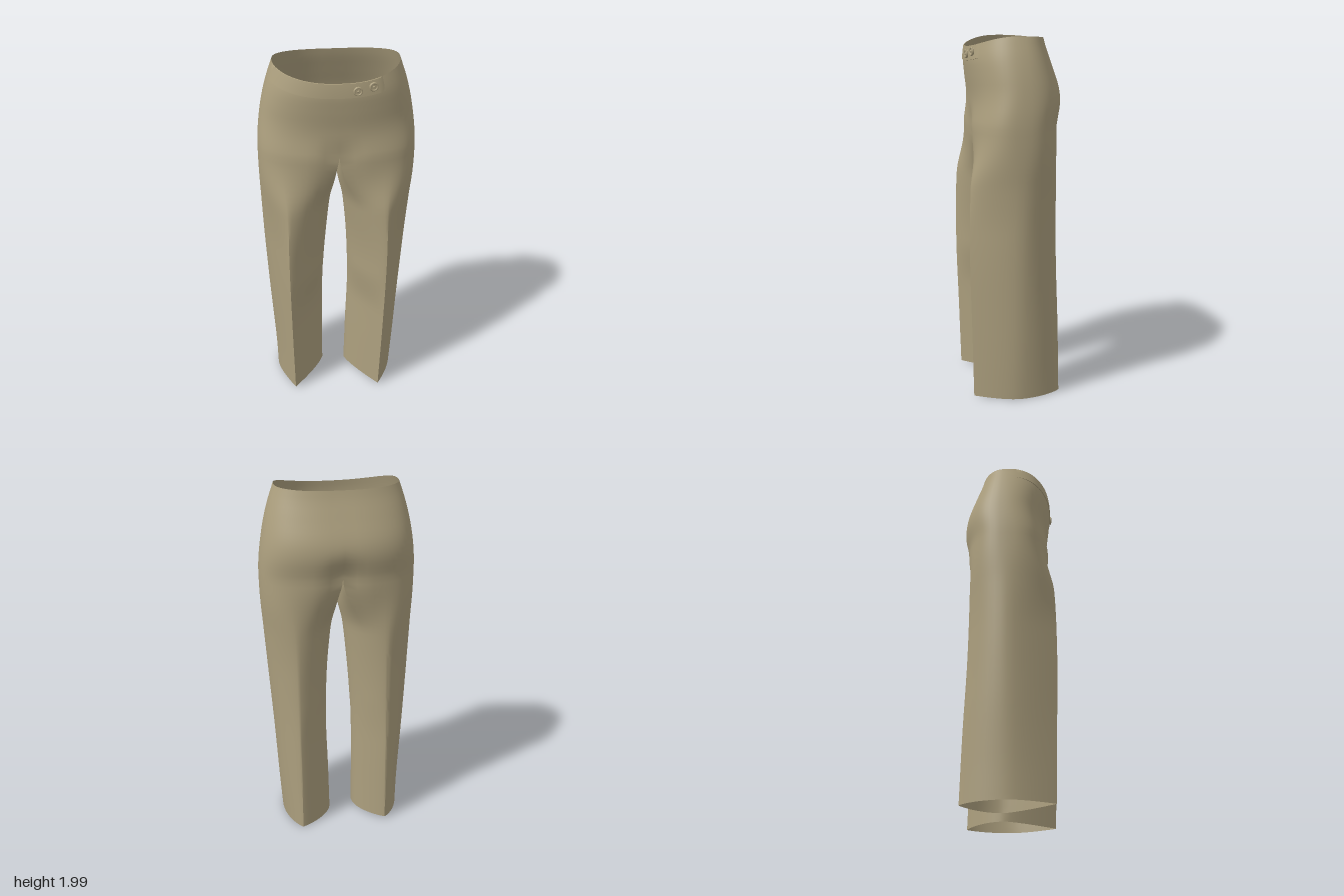
import * as THREE from 'three';
import { toCreasedNormals } from 'three/addons/utils/BufferGeometryUtils.js';

const lerp = THREE.MathUtils.lerp, smooth = THREE.MathUtils.smoothstep;
// Smooth profile through [height, value] pairs
const profile = (...pairs) => {
  const f = new THREE.CubicInterpolant(pairs.map(p => p[0]), pairs.map(p => p[1]), 1, [0]);
  return y => f.evaluate(y)[0];
};

const CROTCH = 1.53, M = 32, CREASE = 6, K = 14;

// Hip profiles: half width, front depth, back depth
const hipX = profile([1.5, 0.425], [1.6, 0.42], [1.7, 0.408], [1.8, 0.39], [1.9, 0.364], [2, 0.33]);
const hipF = profile([1.5, 0.234], [1.65, 0.219], [1.8, 0.235], [1.88, 0.242], [1.95, 0.234], [2, 0.225]);
const hipB = profile([1.45, 0.228], [1.55, 0.243], [1.65, 0.26], [1.72, 0.255], [1.85, 0.212], [1.95, 0.177], [2, 0.165]);

// Leg depths shared by both sides
const legF = profile([0, 0.242], [0.4, 0.252], [0.8, 0.262], [1.2, 0.255], [1.4, 0.237], [1.53, 0.225]);
const legB = profile([0, 0.247], [0.4, 0.236], [0.8, 0.22], [1.2, 0.215], [1.4, 0.217], [1.53, 0.23]);

// Each leg has its own outer, inner and crease lines
const legs = [
  { side: 1, hem: 0.005,
    outer: profile([0, 0.33], [0.2, 0.344], [0.6, 0.368], [1, 0.396], [1.3, 0.416], [1.53, 0.425]),
    inner: profile([0, 0.05], [0.3, 0.058], [0.6, 0.068], [0.8, 0.065], [1, 0.055], [1.2, 0.035], [1.4, 0.012], [1.53, 0]),
    front: profile([0, 0.232], [0.5, 0.25], [1, 0.26], [1.4, 0.25]),
    back: profile([0, 0.24], [1.4, 0.25]) },
  { side: -1, hem: 0.016,
    outer: profile([0, 0.36], [0.2, 0.366], [0.6, 0.39], [1, 0.41], [1.3, 0.42], [1.53, 0.425]),
    inner: profile([0, 0.085], [0.3, 0.084], [0.6, 0.081], [0.8, 0.071], [1, 0.055], [1.2, 0.035], [1.4, 0.012], [1.53, 0]),
    front: profile([0, 0.265], [0.5, 0.275], [1, 0.28], [1.4, 0.27]),
    back: profile([0, 0.25], [1.4, 0.25]) },
];

// Waist edge dips at the front
const rimY = a => (Math.cos(a) > 0 ? 1.942 + 0.054 * Math.sin(a) ** 2 : 1.986 + 0.01 * Math.sin(a) ** 2);

// Point on the hips; a runs from 0 at the front to PI at the back, negative on the right
function hipPoint(a, y) {
  const s = Math.sin(a), c = Math.cos(a);
  const p = 2 / (c > 0 ? 2.75 - 0.45 * smooth(y, 1.53, 1.75) : 2.6);
  const x = Math.sign(s) * hipX(y) * Math.abs(s) ** p;
  let z = Math.abs(c) ** p * (c > 0 ? hipF(y) : -hipB(y));
  const dip = c > 0 ? 0.16 * (1 - smooth(y, 1.48, 1.66)) : 0.01 + 0.16 * (1 - smooth(y, 1.5, 1.7));
  z *= 1 - dip * Math.exp(-((x / 0.075) ** 2));
  return new THREE.Vector3(x, y, z);
}

// How far a creased leg wall stands out between its two creases (t = 1 front, -1 back):
// the outer wall is flat in front and full behind, the inner wall straight in front
function wall(t, out, sharp) {
  const peak = out ? 0 : -0.12 * sharp;
  const u = (t - peak) / (t > peak ? 1 - peak : 1 + peak);
  const [q, e] = out ? (u > 0 ? [1.5, 1] : [2, 0.8]) : (u > 0 ? [1.25, 1] : [2, 0.88]);
  return Math.max(0, 1 - Math.abs(u) ** lerp(2, q, sharp)) ** lerp(0.5, e, sharp);
}

// Ring of a leg: pointed at the creases, opening into a half hip section at the crotch
function legRing(leg, y) {
  const ring = [], total = M + K, outerSteps = M - 2 * CREASE, innerSteps = total - outerSteps;
  const w = smooth(y, 1.2, CROTCH);
  // The outer wall rounds out over the thigh, the inner wall already at the knee
  const sharpOut = 1 - smooth(y, 0.95, 1.5);
  const sharpIn = 1 - 0.4 * smooth(y, 0.52, 0.8) - 0.6 * smooth(y, 0.8, 1.45);
  for (let i = 0; i < total; i++) {
    const k = (i - CREASE + total) % total, out = k <= outerSteps;
    const phi = out ? Math.PI * (0.5 - k / outerSteps) : Math.PI * ((k - outerSteps) / innerSteps - 0.5);
    const t = Math.sin(phi);
    const cx = lerp(leg.back(y), leg.front(y), (t + 1) / 2);
    const x = lerp(cx, (out ? leg.outer : leg.inner)(y), wall(t, out, out ? sharpOut : sharpIn));
    const p = new THREE.Vector3(x, y, t * (t > 0 ? legF(y) : legB(y)));
    // Matching point on the section at the crotch
    let d;
    if (i <= M) d = hipPoint(Math.PI * i / M, CROTCH);
    else {
      const u = (i - M) / K;
      d = hipPoint(Math.PI, CROTCH).lerp(hipPoint(0, CROTCH), u);
      p.y -= 0.08 * Math.sin(Math.PI * u) * smooth(y, 1.15, CROTCH);
    }
    p.x = lerp(p.x, Math.max(d.x, 0), w);
    p.z = lerp(p.z, d.z, w);
    p.x *= leg.side;
    ring.push(p);
  }
  return ring;
}

// Skin rows of points, lowest row first
function skin(rows, closed, flip, out) {
  const put = (...ps) => ps.forEach(p => out.push(p.x, p.y, p.z));
  for (let r = 0; r + 1 < rows.length; r++) {
    const n = rows[r].length;
    for (let j = 0; j < (closed ? n : n - 1); j++) {
      const k = (j + 1) % n, a = rows[r][j], b = rows[r][k], c = rows[r + 1][k], d = rows[r + 1][j];
      if (flip) put(a, c, b, a, d, c);
      else put(a, b, c, a, c, d);
    }
  }
}

function surface(positions, angle) {
  const g = new THREE.BufferGeometry();
  g.setAttribute('position', new THREE.Float32BufferAttribute(positions, 3));
  return toCreasedNormals(g, angle);
}

export function createModel() {
  const group = new THREE.Group();
  const cloth = new THREE.MeshStandardMaterial({ color: 0xac9f7e, side: THREE.DoubleSide });
  cloth.name = 'khaki cloth';
  const add = (name, geometry, parent = group) => {
    const m = new THREE.Mesh(geometry, cloth);
    m.name = name;
    parent.add(m);
    return m;
  };

  // Legs and hips as one continuous cloth
  const cells = [];
  for (const leg of legs) {
    const legRows = [], hipRows = [];
    for (let r = 0; r <= 44; r++) legRows.push(legRing(leg, lerp(leg.hem, CROTCH, r / 44)));
    for (let r = 0; r <= 16; r++) {
      const row = [];
      for (let i = 0; i <= M; i++) {
        const a = Math.PI * i / M;
        const p = hipPoint(a, lerp(CROTCH, rimY(a), r / 16));
        p.x = i % M ? p.x * leg.side : 0;
        row.push(p);
      }
      hipRows.push(row);
    }
    // Share the joining row exactly
    const top = legRows[legRows.length - 1];
    top.forEach((p, i) => (i <= M ? p.copy(hipRows[0][i]) : p.setX(0)));
    skin(legRows, true, leg.side < 0, cells);
    skin(hipRows, false, leg.side < 0, cells);
  }
  add('trousers', surface(cells, 0.85));

  // Raised waistband across the front, overlapping towards the left
  const bandRows = [[-0.076, -0.002], [-0.075, 0.004], [-0.035, 0.004], [-0.001, 0.004], [0, 0]].map(([dy, lift]) => {
    const row = [];
    for (let i = 0; i <= 36; i++) {
      const a = lerp(-1.4, 0.62, i / 36), p = hipPoint(a, rimY(a) + dy);
      const l = lift * Math.min(1, i / 8, (36 - i) * 2);
      p.x += Math.sin(a) * l;
      p.z += Math.cos(a) * l;
      row.push(p);
    }
    return row;
  });
  const band = [];
  skin(bandRows, false, false, band);
  add('waistband', surface(band, 0.6));

  // Two round buttons
  for (const [a, y] of [[0.195, 1.903], [0.43, 1.918]]) {
    const button = new THREE.Group();
    button.name = 'button';
    button.position.copy(hipPoint(a, y));
    button.position.z += 0.008;
    button.rotation.y = a * 0.5;
    add('buttonDisc', new THREE.CylinderGeometry(0.021, 0.023, 0.008, 24).rotateX(Math.PI / 2), button);
    add('buttonRim', new THREE.TorusGeometry(0.019, 0.005, 8, 24).translate(0, 0, 0.003), button);
    add('buttonStud', new THREE.SphereGeometry(0.006, 10, 8).translate(0, 0, 0.004), button);
    group.add(button);
  }
  return group;
}
